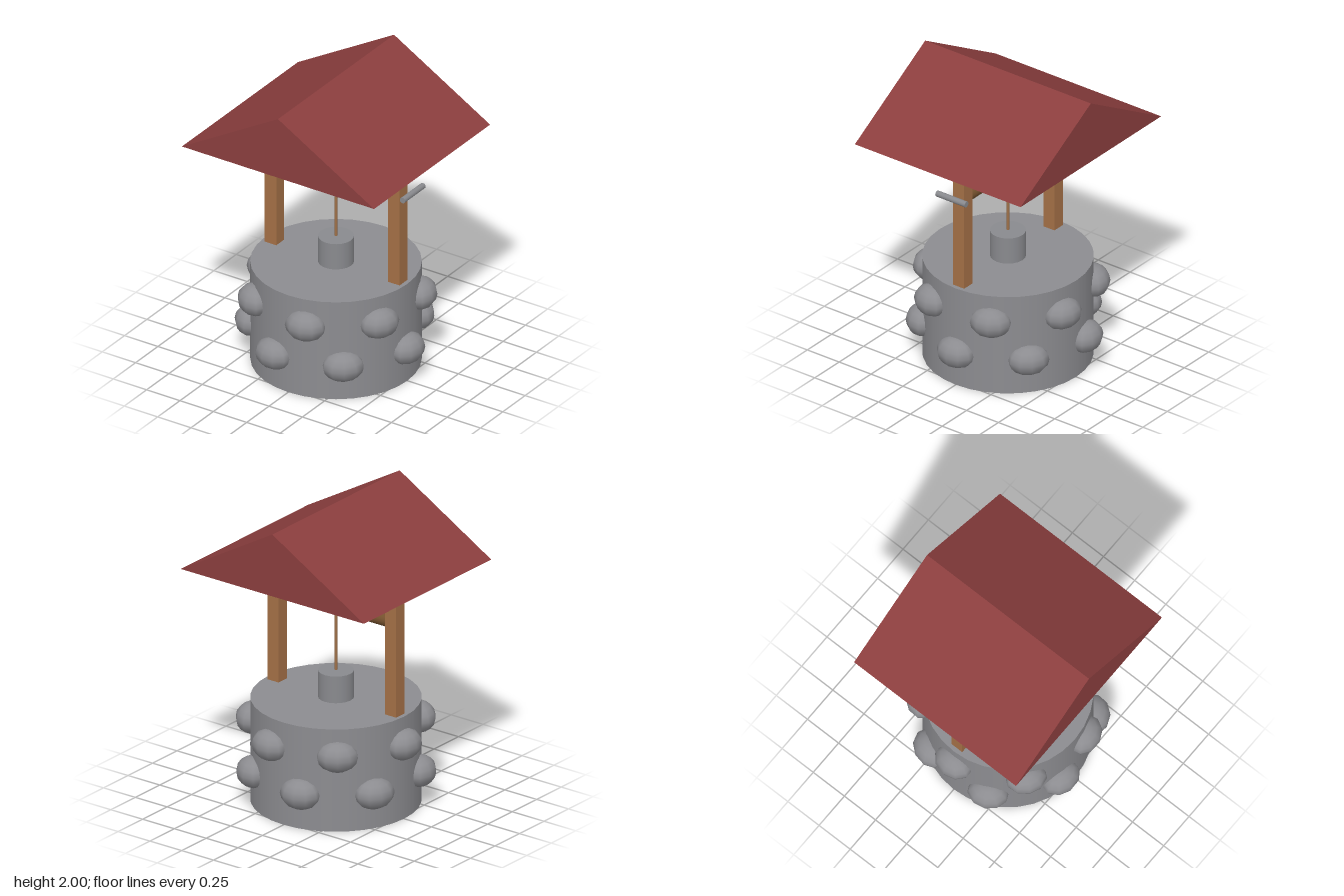
import * as THREE from 'three';

export function createModel() {
  const well = new THREE.Group();
  well.name = 'wishingWell';

  const material = (name, color) => {
    const m = new THREE.MeshStandardMaterial({ color });
    m.name = name;
    return m;
  };
  const stone = material('stoneGrey', 0x8c8c90);
  const metal = material('metalGrey', 0x898a8e);
  const timber = material('postWood', 0xa47046);
  const darkWood = material('axleWood', 0x76522e);
  const ropeTan = material('ropeTan', 0xa0724a);
  const roofRed = material('roofRed', 0x8b3e3e);

  const add = (name, geometry, mat, x = 0, y = 0, z = 0) => {
    const mesh = new THREE.Mesh(geometry, mat);
    mesh.name = name;
    mesh.position.set(x, y, z);
    well.add(mesh);
    return mesh;
  };

  // Round stone base
  add('wellBase', new THREE.CylinderGeometry(0.535, 0.535, 0.69, 32), stone, 0, 0.345);

  // Two staggered rings of bulging stones, seven in each
  const stoneGeometry = new THREE.SphereGeometry(1, 10, 8).scale(0.108, 0.1, 0.133);
  const count = 7;
  [[0.235, 0], [0.505, 0.5]].forEach(([y, offset]) => {
    for (let i = 0; i < count; i++) {
      const a = ((i + offset) / count) * Math.PI * 2;
      const s = add('wallStone', stoneGeometry, stone, Math.cos(a) * 0.53, y, Math.sin(a) * 0.53);
      s.rotation.y = -a;
    }
  });

  // Posts carrying the roof
  for (const side of [-1, 1]) {
    add(side > 0 ? 'leftPost' : 'rightPost',
      new THREE.BoxGeometry(0.087, 0.9, 0.087), timber, side * 0.462, 1.135);
  }

  // Winding axle and crank grip
  add('axle', new THREE.CylinderGeometry(0.043, 0.043, 0.86, 16), darkWood, 0, 1.31).rotation.z = Math.PI / 2;
  add('crankGrip', new THREE.CylinderGeometry(0.02, 0.02, 0.23, 12), metal, 0.575, 1.35).rotation.x = Math.PI / 2;

  // Rope and bucket
  add('rope', new THREE.CylinderGeometry(0.008, 0.008, 0.44, 8), ropeTan, 0, 1.08);
  add('bucket', new THREE.CylinderGeometry(0.113, 0.113, 0.18, 20), metal, 0, 0.78);

  // Solid gable roof
  const gable = new THREE.Shape([
    new THREE.Vector2(-0.72, 1.582),
    new THREE.Vector2(0.72, 1.582),
    new THREE.Vector2(0, 2),
  ]);
  add('roof', new THREE.ExtrudeGeometry(gable, { depth: 1.3, bevelEnabled: false }), roofRed, 0, 0, -0.65);

  return well;
}
